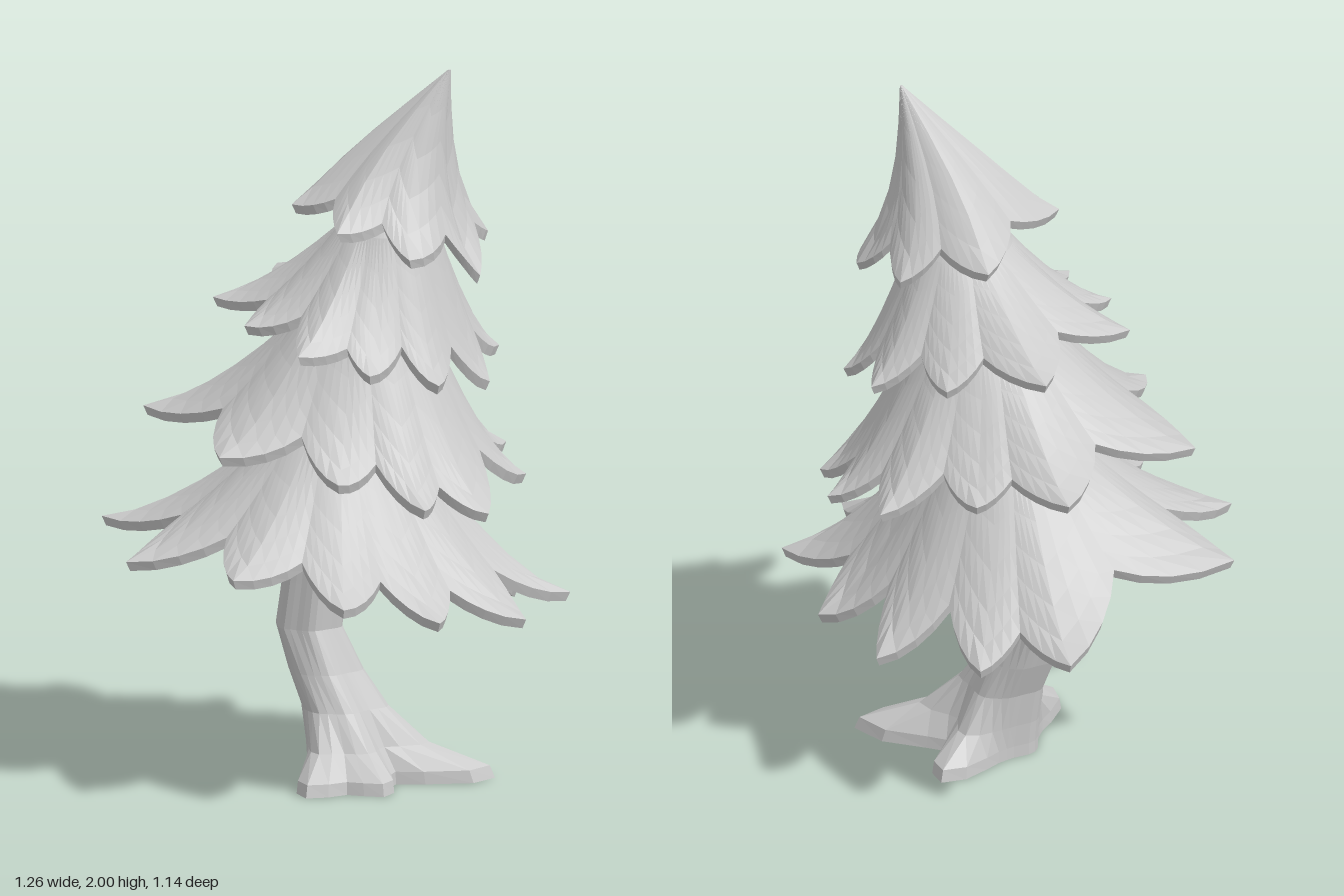
import * as THREE from 'three';

const material = new THREE.MeshStandardMaterial({ color: 0xcccccc, flatShading: true });

// Skins a list of closed rings (ordered top to bottom, equal point counts).
function loft(name, rings) {
  const n = rings[0].length, index = [];
  for (let k = 0; k < rings.length - 1; k++) {
    for (let j = 0; j < n; j++) {
      const a = k * n + j, b = k * n + (j + 1) % n;
      if (k > 0) index.push(a, b, a + n);
      if (k < rings.length - 2) index.push(b, b + n, a + n);
    }
  }
  const geometry = new THREE.BufferGeometry();
  geometry.setAttribute('position', new THREE.Float32BufferAttribute(rings.flat(2), 3));
  geometry.setIndex(index);
  geometry.computeVertexNormals();
  const mesh = new THREE.Mesh(geometry, material);
  mesh.name = name;
  return mesh;
}

// One skirt of pointed branches: neck centre, neck radius, cap height, flare,
// notch depth between branches, sideways bend, branch tips [x, y, z].
function createTier({ name, neck: [cx, cy, cz], radius, cap, flare, notch, bend, tips }) {
  const polar = tips.map(([x, y, z]) => ({
    a: Math.atan2(z - cz, x - cx), r: Math.hypot(x - cx, z - cz), y
  })).sort((p, q) => p.a - q.a);

  // Columns run from each tip through the notch to the next tip
  const steps = 8, columns = [];
  polar.forEach((p, i) => {
    const q = polar[(i + 1) % polar.length];
    const gap = (q.a - p.a + Math.PI * 2) % (Math.PI * 2);
    const depth = notch * Math.min(1, gap / 0.6);
    for (let j = 0; j < steps; j++) {
      const u = j / steps, w = 1 - Math.abs(2 * u - 1);
      columns.push({
        a: p.a + gap * u,
        r: THREE.MathUtils.lerp(p.r, q.r, u),
        y: THREE.MathUtils.lerp(p.y, q.y, u),
        edge: 1 - depth * w,
        fold: w
      });
    }
  });

  const ring = (s, inset, drop) => columns.map(c => {
    const t = s * c.edge;
    const r = Math.max(0.004, radius + (c.r - radius) * t - inset);
    const y = cy - (cy - c.y) * (1 - Math.pow(1 - t, flare)) - 0.025 * c.fold * s - drop;
    return [cx + r * Math.cos(c.a) - bend * Math.sin(Math.PI * t), y, cz + r * Math.sin(c.a)];
  });
  const point = y => columns.map(() => [cx, y, cz]);

  return loft(name, [
    point(cy + cap),
    ...[0, 0.2, 0.4, 0.6, 0.8, 1].map(s => ring(s, 0, 0)),
    ...[1, 0.75, 0.5, 0.25, 0].map(s => ring(s, 0.012, 0.026)),
    point(cy - 0.03)
  ]);
}

// Bent trunk whose foot spreads into roots
function createTrunk() {
  const roots = [[0.76, 0.15], [1.57, 0.18], [4.74, 0.18], [5.91, 0.29]]; // direction, length
  // y, centre x, centre z, radius, root spread
  const sections = [
    [1.0, 0, -0.03, 0.08, 0], [0.7, -0.04, -0.03, 0.085, 0], [0.55, -0.055, -0.03, 0.088, 0],
    [0.42, -0.07, -0.03, 0.092, 0], [0.3, -0.03, -0.03, 0.095, 0.07], [0.2, 0.015, -0.03, 0.1, 0.15],
    [0.1, 0.04, -0.03, 0.11, 0.42], [0.035, 0.05, -0.03, 0.115, 0.95], [0, 0.05, -0.03, 0.115, 1]
  ];
  const n = 32;
  const rings = sections.map(([y, x, z, r, spread]) => Array.from({ length: n }, (_, j) => {
    const a = j / n * Math.PI * 2;
    let d = r * (1 + 0.05 * Math.cos(a * 6));
    for (const [dir, len] of roots) d += spread * len * Math.pow(Math.max(0, Math.cos(a - dir)), 14);
    return [x + d * Math.cos(a), y, z + d * Math.sin(a)];
  }));
  const cap = (x, y, z) => Array.from({ length: n }, () => [x, y, z]);
  return loft('trunk', [cap(0, 1.02, -0.03), ...rings, cap(0.05, 0, -0.03)]);
}

const tiers = [
  {
    name: 'bottomBranches', neck: [0.02, 0.95, -0.03], radius: 0.2, cap: 0.2, flare: 1.5, notch: 0.48, bend: 0,
    tips: [[0.62, 0.53, -0.24], [0.63, 0.52, 0.08], [0.47, 0.54, 0.3], [0.27, 0.6, 0.5], [-0.03, 0.67, 0.57],
      [-0.41, 0.66, 0.44], [-0.63, 0.7, 0.11], [-0.45, 0.57, -0.44], [-0.22, 0.53, -0.54],
      [0.1, 0.49, -0.57], [0.38, 0.48, -0.43]]
  },
  {
    name: 'lowerMiddleBranches', neck: [0.08, 1.28, -0.04], radius: 0.19, cap: 0.18, flare: 1.5, notch: 0.46, bend: 0,
    tips: [[0.47, 0.84, -0.28], [0.54, 0.82, 0.13], [0.42, 0.85, 0.29], [0.2, 0.92, 0.38], [-0.13, 0.98, 0.44],
      [-0.51, 1.02, 0.1], [-0.4, 1.02, -0.37], [-0.15, 0.98, -0.45], [0.1, 0.93, -0.55], [0.33, 0.88, -0.46]]
  },
  {
    name: 'upperMiddleBranches', neck: [0.15, 1.55, -0.06], radius: 0.14, cap: 0.2, flare: 1.45, notch: 0.44, bend: 0,
    tips: [[0.38, 1.19, -0.3], [0.45, 1.14, -0.08], [0.4, 1.17, 0.15], [0.25, 1.21, 0.28], [0.08, 1.27, 0.38],
      [-0.14, 1.31, 0.25], [-0.31, 1.34, 0.08], [-0.3, 1.35, -0.33], [-0.04, 1.3, -0.43], [0.2, 1.25, -0.44]]
  },
  {
    name: 'crown', neck: [0.32, 2, -0.1], radius: 0.004, cap: 0, flare: 1.3, notch: 0.3, bend: 0.05,
    tips: [[0.43, 1.44, -0.06], [0.35, 1.52, -0.28], [0.15, 1.56, -0.37], [-0.08, 1.61, -0.28],
      [-0.06, 1.63, 0.11], [0.13, 1.59, 0.23], [0.32, 1.52, 0.17]]
  }
];

export function createModel() {
  const tree = new THREE.Group();
  tree.name = 'pineTree';
  tree.add(createTrunk(), ...tiers.map(createTier));
  return tree;
}
